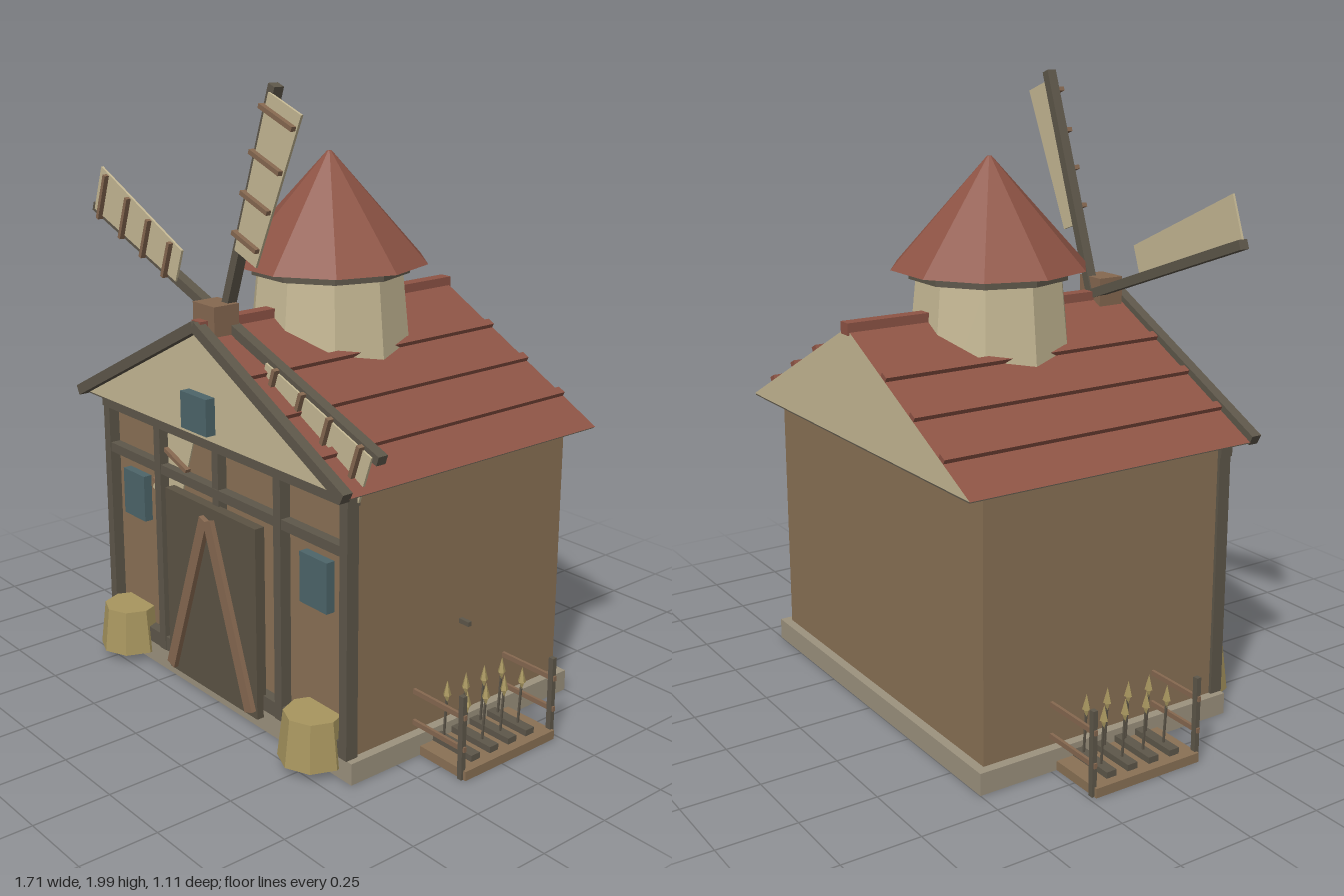
import * as THREE from 'three';

const mat = (name, color) => {
  const m = new THREE.MeshStandardMaterial({ color, flatShading: true });
  m.name = name;
  return m;
};

export function createModel() {
  const root = new THREE.Group();
  root.name = 'windmillBarn';
  const wall = mat('wallBrown', 0x8a7155);
  const wood = mat('lightWood', 0x866850);
  const dark = mat('darkTimber', 0x5e574a);
  const door = mat('doorTimber', 0x5c5344);
  const cream = mat('creamPlaster', 0xc5b894);
  const tile = mat('roofRed', 0x8e5445);
  const stone = mat('foundationStone', 0x9c927e);
  const glass = mat('windowSlate', 0x4d656a);
  const straw = mat('straw', 0xa8965f);

  const add = (name, geo, material, parent = root) => {
    const m = new THREE.Mesh(geo, material);
    m.name = name;
    parent.add(m);
    return m;
  };
  // box given by its limits on each axis
  const box = (name, material, x0, x1, y0, y1, z0, z1, parent = root) => {
    const m = add(name, new THREE.BoxGeometry(x1 - x0, y1 - y0, z1 - z0), material, parent);
    m.position.set((x0 + x1) / 2, (y0 + y1) / 2, (z0 + z1) / 2);
    return m;
  };
  // beam between two points in the xy plane
  const beam = (name, material, ax, ay, bx, by, width, z0, z1, parent = root) => {
    const len = Math.hypot(bx - ax, by - ay);
    const m = add(name, new THREE.BoxGeometry(len, width, z1 - z0), material, parent);
    m.position.set((ax + bx) / 2, (ay + by) / 2, (z0 + z1) / 2);
    m.rotation.z = Math.atan2(by - ay, bx - ax);
    return m;
  };

  // Foundation and walls
  box('foundation', stone, -0.66, 0.66, 0, 0.07, -0.5, 0.43);
  box('walls', wall, -0.63, 0.63, 0.07, 0.89, -0.47, 0.395);

  // Gabled roof: plaster ends, tiled slopes, timber soffit
  const EAVE = 0.91, RIDGE = 1.265, HALF = 0.69;
  const gable = new THREE.Shape([
    new THREE.Vector2(-HALF, EAVE), new THREE.Vector2(HALF, EAVE), new THREE.Vector2(0, RIDGE)]);
  add('roof', new THREE.ExtrudeGeometry(gable, { depth: 1.02, bevelEnabled: false }), [cream, tile])
    .position.z = -0.55;
  box('soffit', dark, -HALF + 0.005, HALF - 0.005, EAVE - 0.005, EAVE + 0.001, -0.549, 0.469);
  box('ridgeCap', tile, -0.022, 0.022, 1.245, 1.283, -0.557, 0.485);
  const slope = Math.atan2(RIDGE - EAVE, HALF);
  for (const s of [-1, 1]) {
    for (const x of [0.22, 0.38, 0.54]) {
      const rib = add('roofRib', new THREE.BoxGeometry(0.028, 0.03, 1.018), tile);
      rib.position.set(s * x, RIDGE - x * Math.tan(slope), -0.04);
      rib.rotation.z = -s * slope;
    }
    beam('bargeBoard', dark, s * 0.692, 0.915, 0, 1.267, 0.034, 0.465, 0.5);
  }

  // Ten-sided tower with a pointed roof
  const decagon = (name, rt, rb, y0, y1, material) => {
    const m = add(name, new THREE.CylinderGeometry(rt, rb, y1 - y0, 10), material);
    m.position.set(0, (y0 + y1) / 2, -0.035);
    m.rotation.y = Math.PI / 10;
  };
  decagon('tower', 0.24, 0.29, 0.885, 1.38, cream);
  decagon('towerBand', 0.262, 0.262, 1.375, 1.406, dark);
  decagon('towerRoof', 0.008, 0.32, 1.405, 1.75, tile);

  // Timber frame on the front
  const F0 = 0.39, F1 = 0.435;
  box('topBeam', dark, -0.645, 0.645, 0.86, 0.89, F0, F1);
  box('middleBeam', dark, -0.64, 0.64, 0.703, 0.735, F0, F1 - 0.005);
  box('sillBeam', dark, -0.63, 0.63, 0.07, 0.12, F0, F1 - 0.005);
  box('centrePost', dark, -0.016, 0.016, 0.66, 0.87, F0, F1 - 0.007);
  for (const s of [-1, 1]) {
    for (const x of [0.623, 0.318]) {
      box('post', dark, s * x - 0.017, s * x + 0.017, 0.07, 0.88, F0, F1 - 0.002);
    }
  }

  // Barn door with diagonal braces
  box('door', door, -0.24, 0.24, 0.045, 0.68, 0.42, 0.455);
  for (const s of [-1, 1]) {
    beam('doorBrace', wood, s * 0.215, 0.065, s * 0.01, 0.64, 0.04, 0.45, 0.472);
    box('window', glass, s * 0.4775 - 0.0625, s * 0.4775 + 0.0625, 0.5, 0.66, 0.39, 0.425);
  }
  box('gableWindow', glass, -0.067, 0.067, 0.937, 1.055, 0.465, 0.504);
  box('wallPeg', dark, 0.63, 0.67, 0.372, 0.387, -0.042, -0.028);

  // Straw bundles
  for (const s of [-1, 1]) {
    const b = add('strawBundle', new THREE.CylinderGeometry(0.092, 0.11, 0.15, 8), straw);
    b.position.set(s * 0.498, 0.105, 0.44);
  }

  // Sails: four arms, each with a tapered cloth and cross slats
  const wheel = new THREE.Group();
  wheel.name = 'sails';
  wheel.position.set(0, 1.27, 0);
  root.add(wheel);
  const cloth = new THREE.Shape([
    new THREE.Vector2(0.245, -0.11), new THREE.Vector2(0.745, -0.155),
    new THREE.Vector2(0.745, 0), new THREE.Vector2(0.245, 0)]);
  for (let i = 0; i < 4; i++) {
    const blade = new THREE.Group();
    blade.name = 'sail';
    blade.rotation.z = THREE.MathUtils.degToRad(70 + 90 * i);
    wheel.add(blade);
    box('sailArm', dark, 0, 0.765, -0.015, 0.015, 0.36, 0.394, blade);
    add('sailCloth', new THREE.ExtrudeGeometry(cloth, { depth: 0.008, bevelEnabled: false }), cream, blade)
      .position.z = 0.392;
    for (const u of [0.3, 0.43, 0.56, 0.7]) {
      box('sailSlat', wood, u - 0.007, u + 0.007, -0.105 - (u - 0.245) * 0.09, 0.012, 0.396, 0.416, blade);
    }
  }
  box('hub', wood, -0.055, 0.055, 1.225, 1.33, 0.365, 0.457);

  // Fenced planting beds on both sides
  for (const s of [-1, 1]) {
    const bed = new THREE.Group();
    bed.name = s > 0 ? 'leftBed' : 'rightBed';
    root.add(bed);
    const bx = (name, m, x0, x1, y0, y1, z0, z1) =>
      box(name, m, Math.min(s * x0, s * x1), Math.max(s * x0, s * x1), y0, y1, z0, z1, bed);
    bx('bedFloor', wall, 0.62, 0.855, 0, 0.03, -0.23, 0.155);
    for (const z of [0.155, -0.23]) {
      bx('fencePost', dark, 0.827, 0.845, 0, 0.27, z - 0.008, z + 0.008);
      for (const y of [0.1, 0.203]) bx('fenceRail', wood, 0.63, 0.85, y - 0.008, y + 0.008, z - 0.005, z + 0.005);
    }
    for (const z of [-0.152, -0.074, 0.005, 0.084]) {
      bx('soilRow', dark, 0.66, 0.825, 0.03, 0.05, z - 0.018, z + 0.018);
      for (const x of [0.695, 0.78]) {
        beam('stalk', dark, s * (x - 0.006), 0.05, s * (x + 0.004), 0.2, 0.006, z - 0.003, z + 0.003, bed);
        const head = add('seedHead', new THREE.ConeGeometry(0.013, 0.05, 5), straw, bed);
        head.position.set(s * (x + 0.004), 0.218, z);
        const leaf = add('leaf', new THREE.ConeGeometry(0.011, 0.03, 4), straw, bed);
        leaf.position.set(s * (x + 0.004), 0.18, z);
        leaf.rotation.x = Math.PI;
      }
    }
  }
  return root;
}
